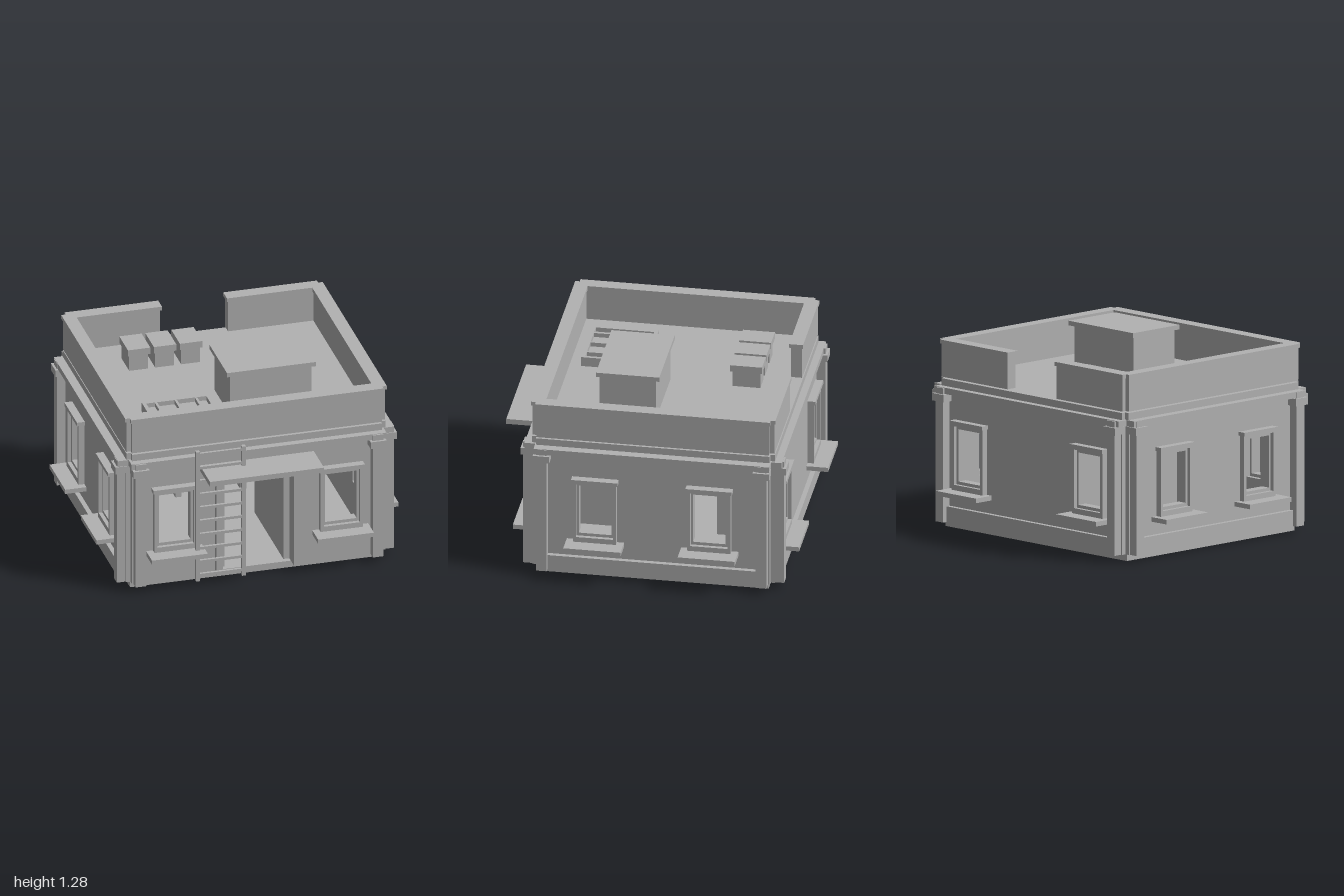
import * as THREE from 'three';

const plaster = new THREE.MeshStandardMaterial({ color: 0xb2b2b2 });
plaster.name = 'plaster';

const CZ = -0.06;            // building centre in z
const HX = 0.86, HZ = 0.786; // half sizes to the wall faces
const NOTCH = 0.03;          // recessed outer corners

function add(parent, name, geometry) {
  const mesh = new THREE.Mesh(geometry, plaster);
  mesh.name = name;
  parent.add(mesh);
  return mesh;
}

// box given by its min and max on each axis
function box(parent, name, x0, x1, y0, y1, z0, z1) {
  const mesh = add(parent, name, new THREE.BoxGeometry(x1 - x0, y1 - y0, z1 - z0));
  mesh.position.set((x0 + x1) / 2, (y0 + y1) / 2, (z0 + z1) / 2);
  return mesh;
}

const rect = (x0, x1, y0, y1, T = THREE.Path) =>
  new T([[x0, y0], [x1, y0], [x1, y1], [x0, y1]].map(p => new THREE.Vector2(...p)));

// upright panel with holes, from z0 to z1
function panel(parent, name, outline, holes, z0, z1) {
  outline.holes.push(...holes);
  const g = new THREE.ExtrudeGeometry(outline, { depth: z1 - z0, bevelEnabled: false });
  return add(parent, name, g.translate(0, 0, z0));
}

// flat plan (shape y = towards the back) raised from y0 to y1
function slab(parent, name, points, y0, y1) {
  const shape = new THREE.Shape(points.map(p => new THREE.Vector2(...p)));
  const g = new THREE.ExtrudeGeometry(shape, { depth: y1 - y0, bevelEnabled: false });
  return add(parent, name, g.rotateX(-Math.PI / 2).translate(0, y0, 0));
}

// right half of a rectangle with notched corners, back to front
const halfPlan = (hx, hz, n) => [
  [hx - n, hz], [hx - n, hz - n], [hx, hz - n],
  [hx, n - hz], [hx - n, n - hz], [hx - n, -hz]];
const mirrored = pts => pts.map(([x, y]) => [-x, y]).reverse();
const fullPlan = (hx, hz, n) => {
  const half = halfPlan(hx, hz, n);
  return [...half, ...mirrored(half)];
};
// the same plan as a ring, open at the back
const ringPlan = (hx, hz, n, ix, iz, gap) => {
  const half = [[gap, hz], ...halfPlan(hx, hz, n)];
  const inner = [[-gap, iz], [-ix, iz], [-ix, -iz], [ix, -iz], [ix, iz], [gap, iz]];
  return [...half, ...mirrored(half), ...inner];
};

// window surround, local z = 0 on the wall face
function makeWindow(x) {
  const w = new THREE.Group();
  w.name = 'window';
  w.position.x = x;
  panel(w, 'outerFrame', rect(-0.14, 0.14, 0.265, 0.7, THREE.Shape),
    [rect(-0.12, 0.12, 0.3, 0.68)], -0.01, 0.04);
  panel(w, 'innerFrame', rect(-0.125, 0.125, 0.295, 0.685, THREE.Shape),
    [rect(-0.105, 0.105, 0.32, 0.66)], -0.05, 0.015);
  box(w, 'windowHead', -0.15, 0.15, 0.69, 0.715, -0.01, 0.052);
  box(w, 'windowSill', -0.185, 0.185, 0.235, 0.265, -0.02, 0.14);
  return w;
}

// one outer wall with windows and pilasters
function makeSide(name, half, windowX, isFront) {
  const s = new THREE.Group();
  s.name = name;
  const holes = [-1, 1].map(k =>
    rect(k * windowX - 0.12, k * windowX + 0.12, 0.3, 0.68));
  let outline = rect(-half, half, 0.045, 0.9, THREE.Shape);
  if (isFront) {
    outline = new THREE.Shape([[-half, 0.045], [-0.235, 0.045], [-0.235, 0.745], [0.235, 0.745],
      [0.235, 0.045], [half, 0.045], [half, 0.9], [-half, 0.9]].map(p => new THREE.Vector2(...p)));
  }
  panel(s, 'wall', outline, holes, -0.08, 0);
  for (const k of [-1, 1]) {
    s.add(makeWindow(k * windowX));
    const p = k * (half - 0.045);
    box(s, 'pilaster', p - 0.035, p + 0.035, 0.045, 0.917, -0.01, 0.058);
    box(s, 'capital', p - 0.053, p + 0.053, 0.83, 0.878, -0.01, 0.073);
  }
  if (!isFront) box(s, 'skirting', 0.08 - half, half - 0.08, 0.045, 0.148, -0.01, 0.03);
  return s;
}

function makeLadder() {
  const l = new THREE.Group();
  l.name = 'ladder';
  for (const x of [-0.414, -0.11]) box(l, 'ladderRail', x - 0.013, x + 0.013, 0.045, 0.968, 0.78, 0.808);
  for (let i = 0; i < 10; i++) {
    const y = 0.085 + i * 0.0955;
    box(l, 'ladderRung', -0.405, -0.12, y - 0.009, y + 0.009, 0.785, 0.803);
  }
  return l;
}

export function createModel() {
  const model = new THREE.Group();
  model.name = 'flatRoofHouse';
  const house = new THREE.Group();
  house.name = 'house';
  house.position.z = CZ;
  model.add(house);

  // plinth and four walls
  box(house, 'plinth', -0.83, 0.83, 0, 0.045, -0.745, 0.745);
  const sides = [
    ['frontWall', 0, HZ, HX, 0.55], ['leftWall', 1, HX, HZ, 0.37],
    ['backWall', 2, HZ, HX, 0.55], ['rightWall', 3, HX, HZ, 0.37]];
  for (const [name, turn, dist, across, windowX] of sides) {
    const s = makeSide(name, across - NOTCH, windowX, turn === 0);
    const a = turn * Math.PI / 2;
    s.rotation.y = a;
    s.position.set(Math.sin(a) * dist, 0, Math.cos(a) * dist);
    house.add(s);
  }

  // interior partitions with a doorway
  for (const x of [-0.215, 0.215]) {
    box(house, 'partition', x - 0.02, x + 0.02, 0.045, 0.89, -0.71, -0.31);
    box(house, 'partition', x - 0.02, x + 0.02, 0.045, 0.89, 0.03, 0.71);
    box(house, 'partitionLintel', x - 0.02, x + 0.02, 0.745, 0.89, -0.31, 0.03);
  }
  box(house, 'shelf', 0.59, 0.79, 0.33, 0.357, -0.15, 0.15);

  // cornice, roof and parapet
  slab(house, 'cornice', fullPlan(0.914, 0.832, 0.07), 0.88, 0.92);
  slab(house, 'roofSlab', fullPlan(0.857, HZ, NOTCH), 0.92, 0.966);
  slab(house, 'parapet', ringPlan(0.857, 0.782, NOTCH, 0.79, 0.71, 0.225), 0.975, 1.192);
  slab(house, 'parapetCap', ringPlan(0.866, 0.79, NOTCH, 0.78, 0.7, 0.215), 1.19, 1.216);

  // doorway surround, canopy and ladder
  const surround = new THREE.Shape([[-0.28, 0.045], [-0.235, 0.045], [-0.235, 0.745], [0.235, 0.745],
    [0.235, 0.045], [0.28, 0.045], [0.28, 0.79], [-0.28, 0.79]].map(p => new THREE.Vector2(...p)));
  panel(house, 'doorSurround', surround, [], HZ - 0.01, HZ + 0.035);
  box(model, 'canopy', -0.38, 0.375, 0.795, 0.83, 0.71, 0.97);
  model.add(makeLadder());

  // roof access box
  box(model, 'roofAccess', -0.075, 0.465, 0.966, 1.25, -0.015, 0.35);
  box(model, 'roofAccessLid', -0.1, 0.49, 1.247, 1.277, -0.04, 0.37);

  // row of vents
  for (let i = 0; i < 3; i++) {
    const x = -0.465 + i * 0.172;
    box(model, 'vent', x - 0.062, x + 0.062, 0.966, 1.08, -0.6, -0.42);
    box(model, 'ventCap', x - 0.074, x + 0.074, 1.075, 1.12, -0.613, -0.407);
  }

  // skylight with glazing bars
  const frame = panel(model, 'skylightFrame', rect(-0.605, -0.165, -0.578, -0.15, THREE.Shape),
    [rect(-0.58, -0.183, -0.553, -0.175)], 0.966, 1.03);
  frame.rotation.x = -Math.PI / 2;
  box(model, 'skylightPane', -0.585, -0.18, 0.966, 1.0, 0.17, 0.56);
  for (const x of [-0.515, -0.384, -0.25]) box(model, 'skylightBar', x - 0.008, x + 0.008, 0.99, 1.028, 0.17, 0.56);

  return model;
}
